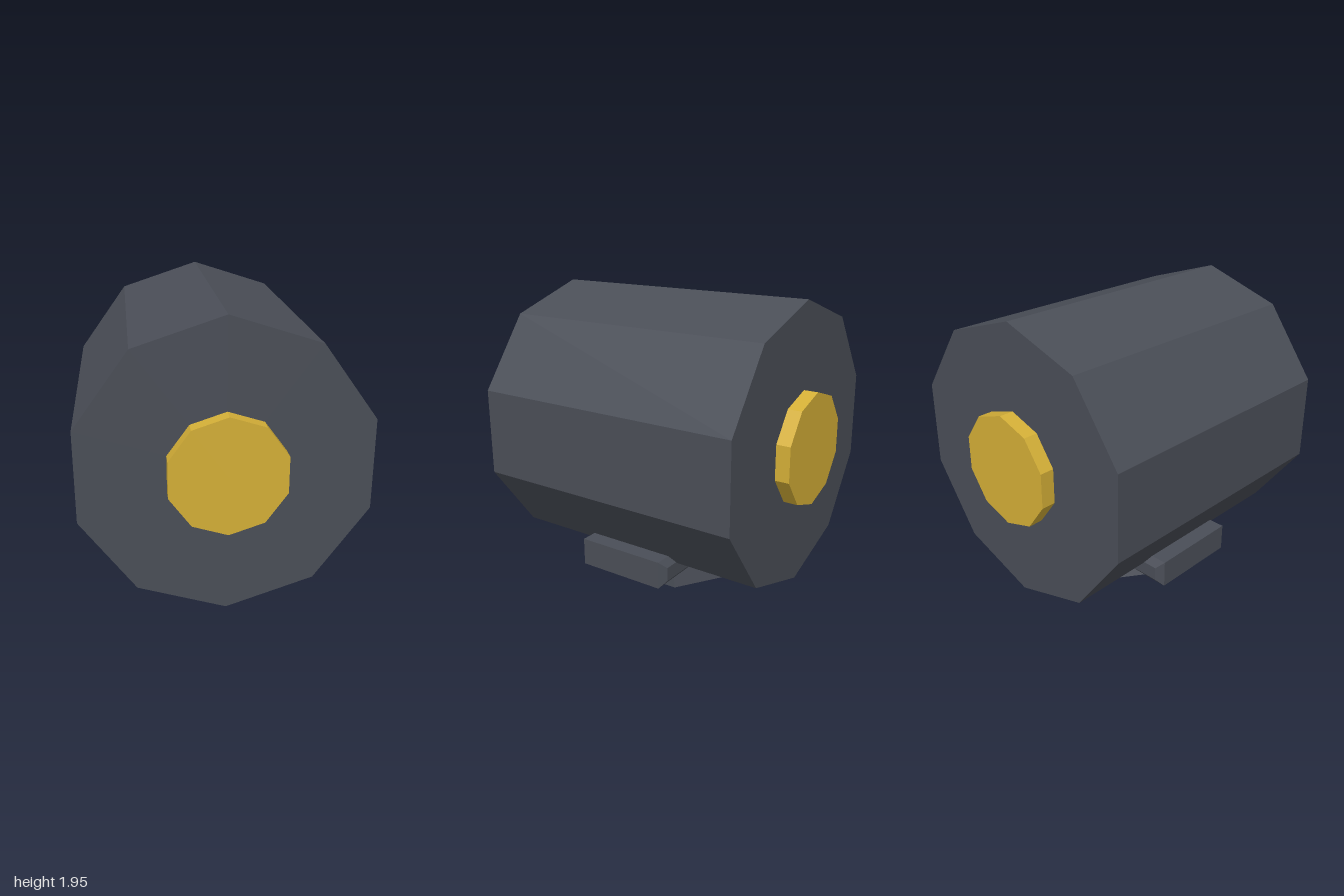
import * as THREE from 'three';

export function createModel() {
  const model = new THREE.Group();
  const darkMetal = new THREE.MeshStandardMaterial({ name: 'darkMetal', color: 0x4a4e57, flatShading: true });
  const gold = new THREE.MeshStandardMaterial({ name: 'gold', color: 0xd4af37, flatShading: true });

  const add = (name, geometry, material) => {
    const mesh = new THREE.Mesh(geometry, material);
    mesh.name = name;
    model.add(mesh);
    return mesh;
  };

  // Ten-sided prism lying along z, with a corner at the top
  const prism = (radius, length, z) =>
    new THREE.CylinderGeometry(radius, radius, length, 10)
      .rotateX(Math.PI / 2)
      .translate(0, 1.047, z);

  // Main drum and the gold cap on each end
  add('drum', prism(0.907, 1.816, 0), darkMetal);
  for (const [name, side] of [['frontCap', 1], ['backCap', -1]]) {
    add(name, prism(0.362, 0.14, side * 0.93), gold);
  }

  // Mounting bar: a block with bevelled front and back faces
  const inset = 0.045;
  const w = 0.68 - inset, h = 0.09 - inset;
  const outline = new THREE.Shape([
    new THREE.Vector2(-w, -h), new THREE.Vector2(w, -h),
    new THREE.Vector2(w, h), new THREE.Vector2(-w, h),
  ]);
  const bar = new THREE.ExtrudeGeometry(outline, {
    depth: 0.6, bevelEnabled: true, bevelSegments: 1, bevelSize: inset, bevelThickness: 0.04,
  });
  add('mountingBar', bar.translate(0, 0.276, -0.3), darkMetal);

  // Tilted eight-sided foot, slightly narrower at the top and sunk into the drum
  const foot = new THREE.CylinderGeometry(0.463, 0.503, 0.2, 8)
    .rotateY(Math.PI / 8)
    .translate(0, 0.1, 0);
  const footMesh = add('tiltedFoot', foot, darkMetal);
  footMesh.position.set(-0.115, 0.09, 0);
  footMesh.rotation.z = -0.194;

  return model;
}
